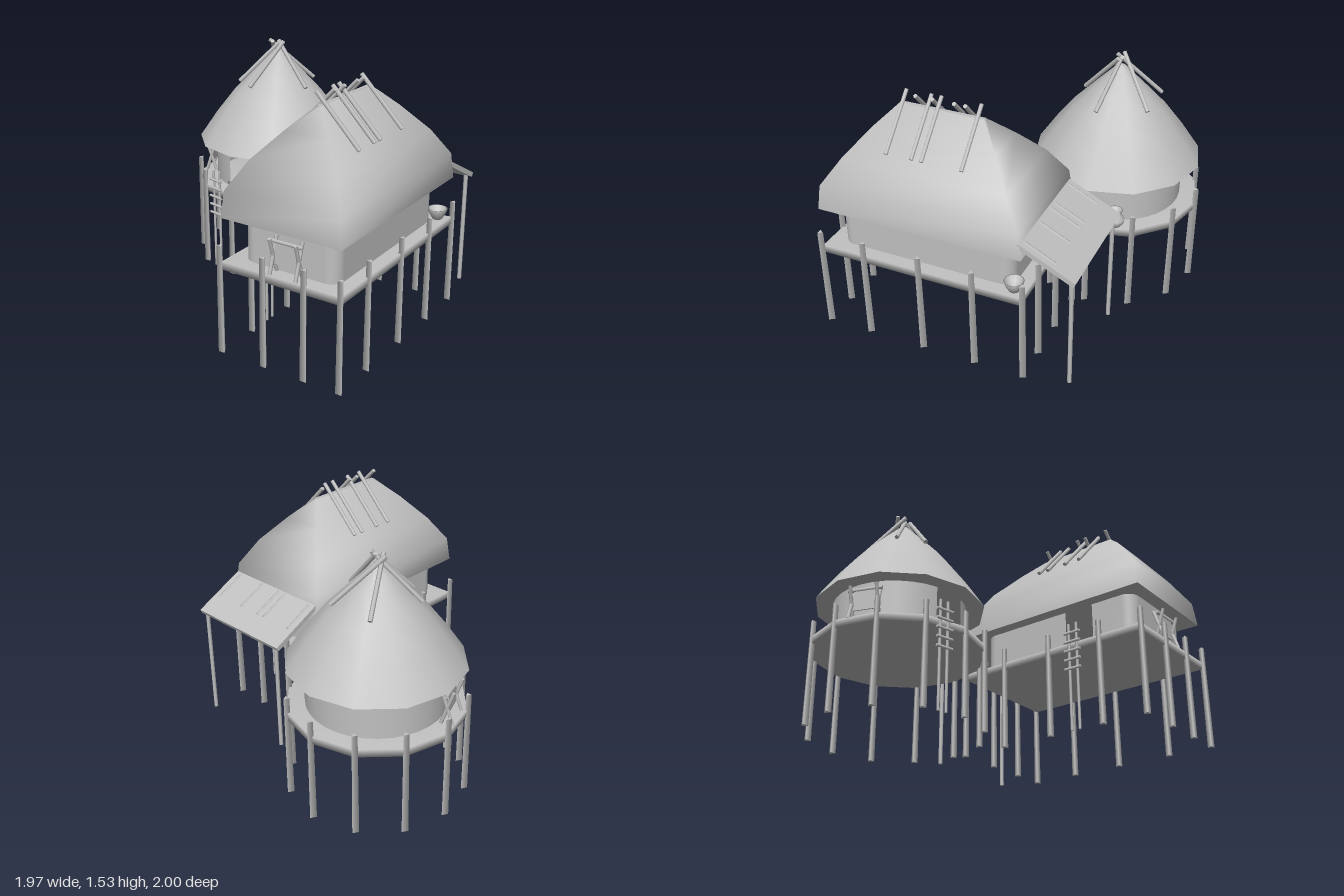
import * as THREE from 'three';
import { mergeVertices } from 'three/addons/utils/BufferGeometryUtils.js';

const DECK = 0.575, EAVE = 0.84;

export function createModel() {
  const root = new THREE.Group();
  const grey = new THREE.MeshStandardMaterial({ color: 0xc0c0c0, side: THREE.DoubleSide });
  grey.name = 'plain grey';

  const add = (name, geometry, parent = root, x = 0, y = 0, z = 0) => {
    const m = new THREE.Mesh(geometry, grey);
    m.name = name;
    m.position.set(x, y, z);
    parent.add(m);
    return m;
  };
  const group = (name, x = 0, y = 0, z = 0) => {
    const g = new THREE.Group();
    g.name = name;
    g.position.set(x, y, z);
    root.add(g);
    return g;
  };
  // Straight pole between two points
  const stick = (name, a, b, r = 0.013, parent = root) => {
    const p = new THREE.Vector3(...a), q = new THREE.Vector3(...b);
    const m = add(name, new THREE.CylinderGeometry(r, r, p.distanceTo(q), 6), parent);
    m.position.copy(p).add(q).multiplyScalar(0.5);
    m.quaternion.setFromUnitVectors(new THREE.Vector3(0, 1, 0), q.sub(p).normalize());
    return m;
  };
  const post = (x, z) => {
    add('stiltPost', new THREE.CylinderGeometry(0.02, 0.024, 0.675, 3), root, x, 0.3375, z).rotation.y = Math.PI;
  };
  const lathe = (pts, n, start = 0, len = Math.PI * 2) =>
    new THREE.LatheGeometry(pts.map(p => new THREE.Vector2(...p)), n, start, len);
  // Share corners so the shading runs softly over the edges
  const soften = (g) => {
    g.deleteAttribute('normal');
    g.deleteAttribute('uv');
    const s = mergeVertices(g);
    s.computeVertexNormals();
    return s;
  };

  // ---------- Round hut ----------
  const CX = -0.42, CZ = -0.428;
  const hut = group('roundHut', CX, 0, CZ);
  add('roundDeck', soften(new THREE.CylinderGeometry(0.55, 0.55, 0.05, 12)), hut, 0, 0.55, 0);
  const gap = Math.PI / 12;
  add('roundWall', lathe([[0.43, DECK], [0.43, EAVE]], 30, gap, Math.PI * 2 - 2 * gap), hut);
  add('roundRoof', lathe([[0.548, EAVE], [0.425, 1.02], [0.3, 1.18], [0.16, 1.325], [0.025, 1.46], [0, 1.465]], 12), hut);
  const under = add('roundRoofUnderside', new THREE.CircleGeometry(0.548, 12), hut, 0, EAVE, 0);
  under.rotation.x = Math.PI / 2;
  for (let i = 0; i < 12; i++) {
    const a = i * Math.PI / 6;
    post(CX + 0.55 * Math.sin(a), CZ + 0.55 * Math.cos(a));
  }
  // Poles crossing loosely over the peak: outer x, z then inner x, z
  for (const [x, z, u, w] of [[-0.165, -0.23, -0.02, 0.035], [0.14, -0.23, -0.065, 0.005], [0.27, 0.065, 0, -0.005],
    [-0.055, 0.255, 0.05, 0.005], [-0.215, 0.15, 0.02, -0.01]])
    stick('roofPole', [x, 1.24, z], [u, 1.52, w], 0.014, hut);

  // ---------- Long hut ----------
  const X = 0.564, Z = 0.3175;
  const long = group('longHut', X, 0, Z);
  add('longDeck', soften(new THREE.BoxGeometry(0.785, 0.05, 1.325)), long, 0, 0.55, 0);

  // Wall ribbon with rounded corners and a doorway on the ladder side
  const hw = 0.31, hl = 0.573, r = 0.08, path = [[-hw, 0.28]];
  for (const [k, sx, sz] of [[0, -1, 1], [1, 1, 1], [2, 1, -1], [3, -1, -1]])
    for (let i = 0; i <= 6; i++) {
      const a = Math.PI - (k + i / 6) * Math.PI / 2;
      path.push([sx * (hw - r) + r * Math.cos(a), sz * (hl - r) + r * Math.sin(a)]);
    }
  path.push([-hw, 0.08]);
  const ribbon = (rings, closed) => {
    const n = rings[0].length, pos = rings.flat(2), idx = [];
    for (let i = 0; i < rings.length - 1; i++)
      for (let j = 0; j < (closed ? n : n - 1); j++) {
        const a = i * n + j, b = i * n + (j + 1) % n;
        idx.push(a, b, b + n, a, b + n, a + n);
      }
    const g = new THREE.BufferGeometry();
    g.setAttribute('position', new THREE.Float32BufferAttribute(pos, 3));
    g.setIndex(idx);
    g.computeVertexNormals();
    return g;
  };
  add('longWall', ribbon([DECK, EAVE].map(y => path.map(([x, z]) => [x, y, z])), false), long);

  // Curved hip roof from rectangular cross-sections
  const sections = [[0.393, EAVE, 0.662], [0.378, 1.0, 0.642], [0.285, 1.165, 0.53], [0.14, 1.325, 0.4], [0.012, 1.455, 0.272]];
  const rings = sections.map(([x, y, z]) => [[x, y, z], [x, y, -z], [-x, y, -z], [-x, y, z]]);
  add('longRoof', ribbon(rings, true), long);
  add('longRidge', new THREE.BoxGeometry(0.024, 0.004, 0.544), long, 0, 1.454, 0);
  const soffit = add('longRoofUnderside', new THREE.PlaneGeometry(0.786, 1.324), long, 0, EAVE, 0);
  soffit.rotation.x = Math.PI / 2;

  for (const z of [0.985, 0.69, 0.315, -0.035, -0.355])
    for (const x of [0.166, 0.963]) post(x, z);
  for (const z of [0.985, -0.355])
    for (const x of [0.462, 0.732]) post(x, z);

  // Poles crossing over the ridge
  for (const z of [0.08, 0.335, 0.4, 0.565]) stick('ridgePole', [0.81, 1.235, z], [0.53, 1.525, z]);
  for (const z of [0.155, 0.225, 0.365, 0.475]) stick('ridgePole', [0.315, 1.235, z], [0.59, 1.525, z]);

  // ---------- Awning behind the long hut ----------
  const awning = add('awning', new THREE.BoxGeometry(0.755, 0.03, 0.385), root, 0.571, 0.846, -0.49);
  awning.rotation.x = -Math.atan2(0.5, 1);
  for (const x of [0.24, 0.465, 0.525, 0.685, 0.9])
    stick('awningPole', [x, 0.835, -0.53], [x, 0.93, -0.34], 0.013);
  for (const x of [0.24, 0.915]) stick('awningPost', [x, 0.02, -0.635], [x, 0.78, -0.635], 0.014);

  // ---------- Ladders ----------
  const ladder = (x, z, turn) => {
    const g = group('ladder', x, 0, z);
    g.rotation.y = turn;
    for (const s of [-0.028, 0.028]) stick('ladderRail', [s, 0, 0], [s, 0.7, 0], 0.009, g);
    for (const y of [0.395, 0.455, 0.515, 0.575, 0.635])
      stick('ladderRung', [-0.058, y, 0.01], [0.058, y, 0.01], 0.009, g);
  };
  ladder(-0.573, 0.085, -0.2);
  ladder(0.16, 0.505, -Math.PI / 2);

  // ---------- Drying racks with a hanging hide ----------
  const rack = (x, z, turn) => {
    const g = group('dryingRack', x, DECK, z);
    g.rotation.y = turn;
    for (const s of [-0.085, 0.085])
      for (const d of [-1, 1])
        stick('rackLeg', [s, 0, -0.035 * d], [s, 0.215, 0.035 * d], 0.011, g);
    stick('rackBar', [-0.11, 0.195, 0], [0.11, 0.195, 0], 0.011, g);
    add('hangingHide', new THREE.BoxGeometry(0.14, 0.14, 0.008), g, 0, 0.13, 0);
  };
  rack(0.58, 0.935, 0);
  rack(-0.875, -0.28, -1.2);

  // ---------- Vessels on the decks ----------
  const bowl = [[0, 0], [0.03, 0], [0.05, 0.035], [0.062, 0.068], [0.054, 0.068], [0.04, 0.035], [0, 0.015]];
  for (const x of [0.213, 0.895]) add('bowl', lathe(bowl, 14), root, x, DECK, -0.275);
  add('waterPot', lathe([[0, 0], [0.035, 0], [0.06, 0.03], [0.062, 0.055], [0.042, 0.085], [0.038, 0.098],
    [0.05, 0.115], [0.042, 0.115], [0.03, 0.095], [0, 0.06]], 14), root, 0.045, DECK, -0.585);

  return root;
}
